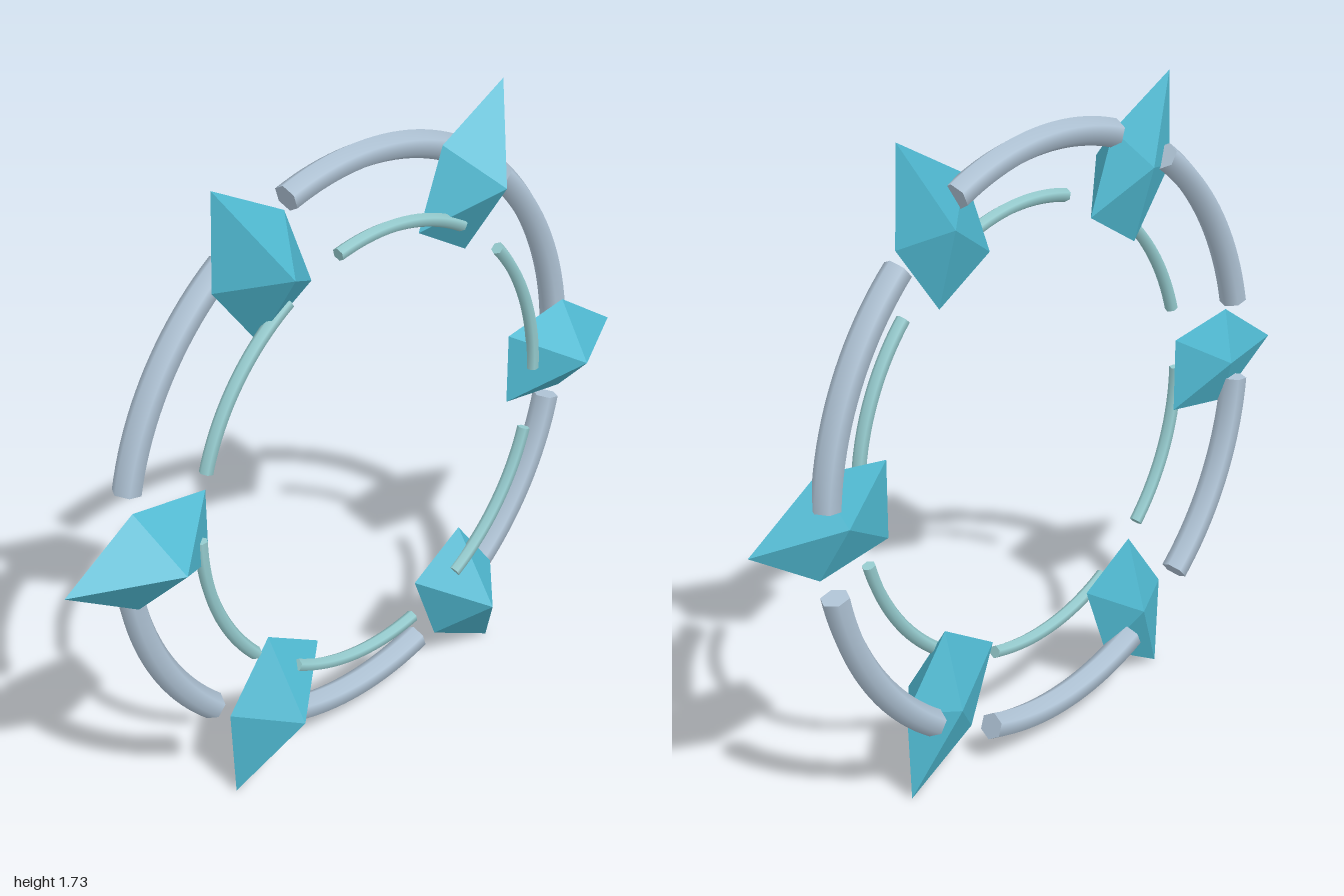
import * as THREE from 'three';
import { mergeGeometries } from 'three/addons/utils/BufferGeometryUtils.js';

const material = (name, color, flatShading = false) => {
  const m = new THREE.MeshStandardMaterial({ color, flatShading });
  m.name = name;
  return m;
};

// Capped six-sided rod bent along part of a circle, starting on the +x axis
function arcRod(radius, thickness, length) {
  const body = new THREE.TorusGeometry(radius, thickness, 6, 20, length);
  const startCap = new THREE.CircleGeometry(thickness, 6).rotateX(Math.PI / 2).translate(radius, 0, 0);
  const endCap = new THREE.CircleGeometry(thickness, 6).rotateX(-Math.PI / 2).translate(radius, 0, 0).rotateZ(length);
  return mergeGeometries([body, startCap, endCap]);
}

// Five-sided outline with a front and a back point, aimed along +x
function crystalGeometry() {
  const outline = [[1, 0], [0.785, 0.136], [0.558, 0.103], [0.558, -0.103], [0.785, -0.136]];
  const girdle = -0.035;
  const front = [0.74, 0, 0.1];
  const back = [0.74, 0, -0.095];
  const positions = [];
  outline.forEach(([x, y], i) => {
    const [nx, ny] = outline[(i + 1) % outline.length];
    positions.push(x, y, girdle, nx, ny, girdle, ...front);
    positions.push(nx, ny, girdle, x, y, girdle, ...back);
  });
  const g = new THREE.BufferGeometry();
  g.setAttribute('position', new THREE.Float32BufferAttribute(positions, 3));
  g.computeVertexNormals();
  return g;
}

export function createModel() {
  const model = new THREE.Group();
  model.name = 'crystalRing';
  const crystalBlue = material('crystalBlue', 0x4fb8d0, true);
  const silver = material('silver', 0xb0c4d6);
  const paleTeal = material('paleTeal', 0x96cccf);

  const deg = Math.PI / 180;
  const crystal = crystalGeometry();
  const outerArc = arcRod(0.79, 0.037, 43 * deg).rotateZ(4.3 * deg).translate(0, 0, -0.069);
  const innerArc = arcRod(0.615, 0.018, 43 * deg).translate(0, 0, 0.006);

  // Six equal sectors around the ring
  for (let i = 0; i < 6; i++) {
    const sector = new THREE.Group();
    sector.name = 'sector' + (i + 1);
    for (const [name, geometry, mat] of [
      ['crystal', crystal, crystalBlue],
      ['outerArc', outerArc, silver],
      ['innerArc', innerArc, paleTeal],
    ]) {
      const mesh = new THREE.Mesh(geometry, mat);
      mesh.name = name;
      sector.add(mesh);
    }
    sector.rotation.z = i * 60 * deg;
    sector.position.y = 0.866;
    model.add(sector);
  }
  return model;
}
